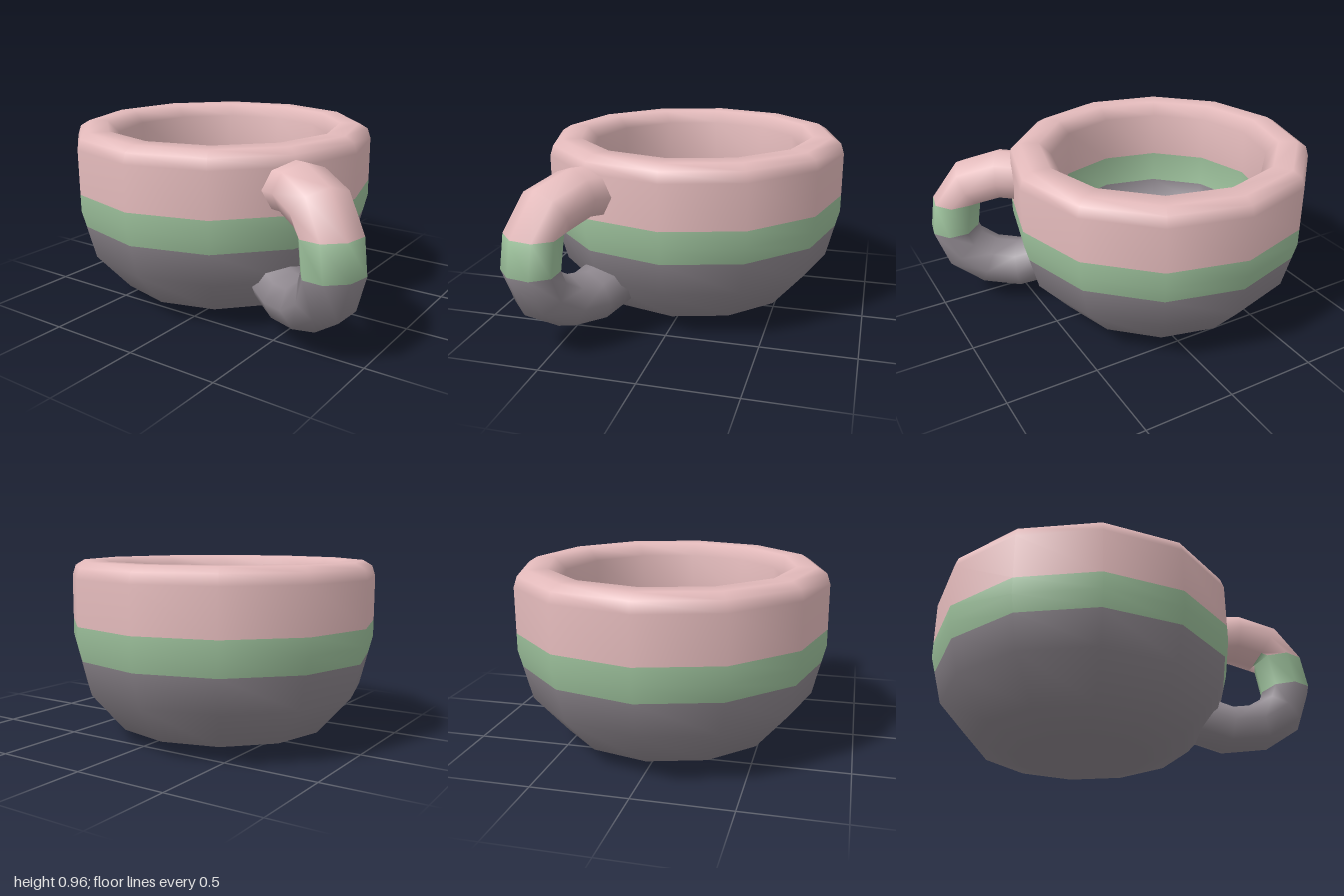
import * as THREE from 'three';

const BAND_LOW = 0.46, BAND_HIGH = 0.64;

function makeMaterial(name, color) {
  const m = new THREE.MeshStandardMaterial({ color });
  m.name = name;
  return m;
}

// Sort the triangles into three colour groups by height, keeping smooth normals
function paintBands(geometry) {
  const index = geometry.index.array, pos = geometry.attributes.position;
  const bands = [[], [], []];
  for (let i = 0; i < index.length; i += 3) {
    const tri = [index[i], index[i + 1], index[i + 2]];
    const y = tri.reduce((sum, v) => sum + pos.getY(v), 0) / 3;
    bands[y < BAND_LOW ? 0 : y < BAND_HIGH ? 1 : 2].push(...tri);
  }
  geometry.setIndex(bands.flat());
  let start = 0;
  bands.forEach((band, i) => {
    geometry.addGroup(start, band.length, i);
    start += band.length;
  });
  return geometry;
}

// Sweep an elliptical ring along [u, y, ringIsLevel] points in the x-y plane
function sweepHandle(path, inPlane, across, sides) {
  const points = [], index = [];
  path.forEach(([u, y, level], i) => {
    const a = path[Math.max(i - 1, 0)], b = path[Math.min(i + 1, path.length - 1)];
    const t = level ? new THREE.Vector2(0, -1) : new THREE.Vector2(b[0] - a[0], b[1] - a[1]).normalize();
    for (let k = 0; k < sides; k++) {
      const angle = (k / sides) * Math.PI * 2;
      const r = Math.cos(angle) * inPlane;
      points.push(u - t.y * r, y + t.x * r, Math.sin(angle) * across);
      if (i < path.length - 1) {
        const p = i * sides + k, q = i * sides + ((k + 1) % sides);
        index.push(p, q, p + sides, q, q + sides, p + sides);
      }
    }
  });
  const geometry = new THREE.BufferGeometry();
  geometry.setAttribute('position', new THREE.Float32BufferAttribute(points, 3));
  geometry.setIndex(index);
  geometry.computeVertexNormals();
  return geometry;
}

export function createModel() {
  const materials = [
    makeMaterial('grey glaze', 0x8e878e),
    makeMaterial('green glaze', 0x9cc09b),
    makeMaterial('pink glaze', 0xe3babb),
  ];
  const model = new THREE.Group();
  model.name = 'mug';

  // Bowl: outside from the base up, over the rim and down to the inner floor
  const profile = [
    [0, 0], [0.335, 0], [0.585, 0.075], [0.765, 0.28], [0.81, BAND_LOW],
    [0.833, 0.55], [0.833, BAND_HIGH], [0.833, 0.88], [0.815, 0.935], [0.765, 0.965],
    [0.66, 0.965], [0.595, 0.9], [0.608, BAND_HIGH], [0.6, BAND_LOW],
    [0.56, 0.34], [0.45, 0.21], [0.27, 0.15], [0, 0.14],
  ].map(([r, y]) => new THREE.Vector2(r, y));
  const bowl = new THREE.Mesh(paintBands(new THREE.LatheGeometry(profile, 12)), materials);
  bowl.name = 'bowl';
  bowl.position.x = -0.167;
  bowl.rotation.y = 0.02;
  model.add(bowl);

  // Handle: set radially on the bowl, its ends buried in the wall
  const path = [
    [0.7, 0.765], [0.89, 0.785], [1.06, 0.735], [1.145, BAND_HIGH, true],
    [1.175, BAND_LOW, true], [1.125, 0.325], [0.985, 0.235], [0.815, 0.212], [0.66, 0.26],
  ];
  const handle = new THREE.Mesh(paintBands(sweepHandle(path, 0.135, 0.165, 8)), materials);
  handle.name = 'handle';
  handle.position.x = -0.167;
  handle.rotation.y = -0.507;
  model.add(handle);

  return model;
}
